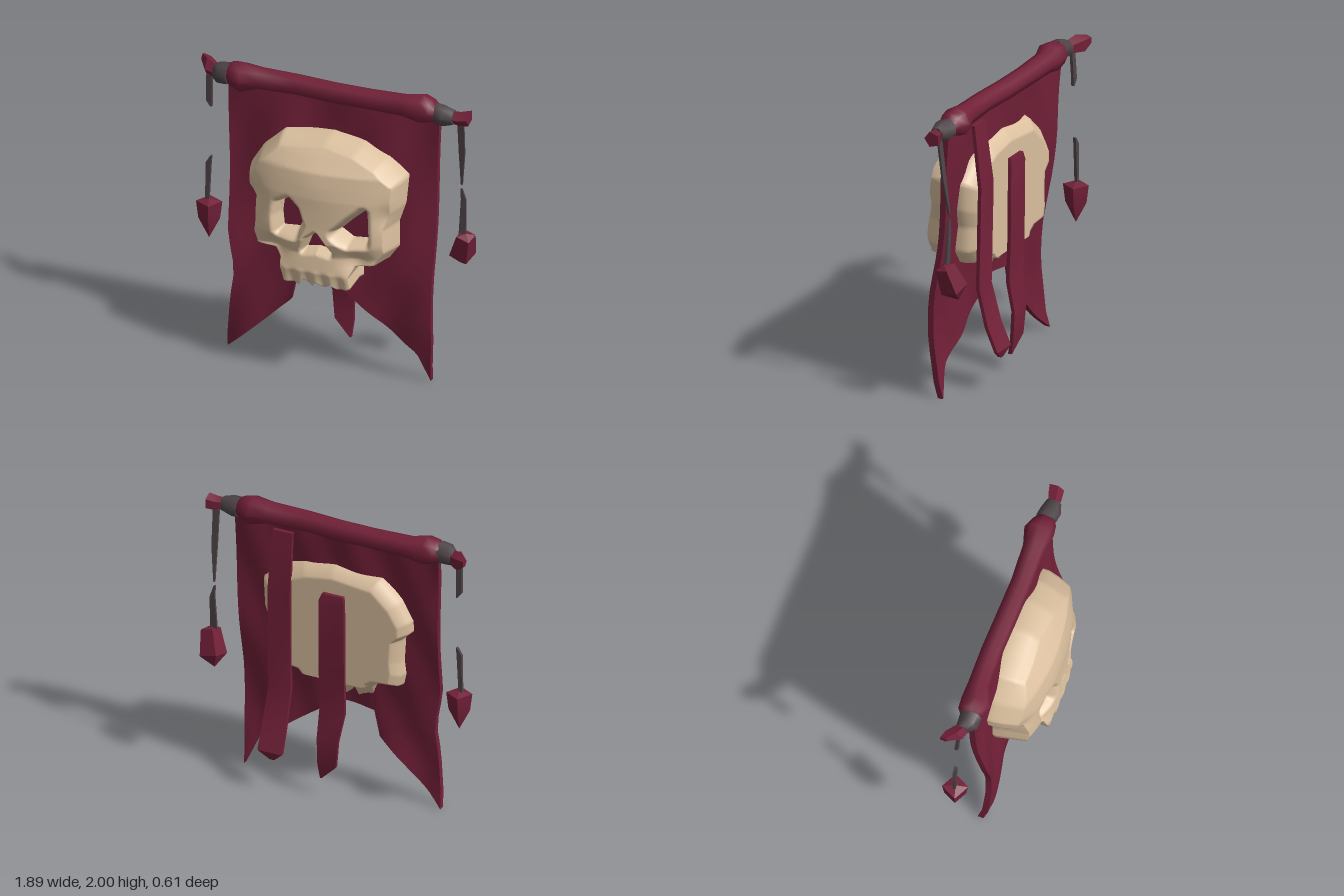
import * as THREE from 'three';
import { toCreasedNormals } from 'three/addons/utils/BufferGeometryUtils.js';

const material = (name, color) => {
  const m = new THREE.MeshStandardMaterial({ color });
  m.name = name;
  return m;
};

// piecewise linear lookup in a list of [key, value], keys rising
function lookup(table, k) {
  for (let i = 1; i < table.length; i++) {
    const [a, va] = table[i - 1], [b, vb] = table[i];
    if (k <= b) return va + (vb - va) * Math.max(0, (k - a) / (b - a));
  }
  return table[table.length - 1][1];
}

// move every vertex of a geometry by a rule
function reshape(geo, rule, crease = 0.6) {
  const p = geo.attributes.position;
  for (let i = 0; i < p.count; i++) p.setXYZ(i, ...rule(p.getX(i), p.getY(i), p.getZ(i)));
  geo.computeVertexNormals();
  return toCreasedNormals(geo, crease);
}

// hanging strip through rows of [left x, right x, y, z]
function strip(rows, thick) {
  const n = rows.length - 1;
  return reshape(new THREE.BoxGeometry(1, 1, 1, 1, n, 1), (x, y, z) => {
    const [l, r, ry, rz] = rows[Math.round((0.5 - y) * n)];
    return [x < 0 ? l : r, ry, rz + z * thick];
  });
}

// round bar along x through stations of [x, y, z, radius]
function bar(stations, sides, crease = 0.95) {
  const n = stations.length - 1;
  const geo = new THREE.CylinderGeometry(1, 1, 1, sides, n).rotateZ(Math.PI / 2);
  return reshape(geo, (x, y, z) => {
    const [sx, sy, sz, r] = stations[Math.round((x + 0.5) * n)];
    return [sx, sy + y * r, sz + z * r];
  }, crease);
}

// eye and nose openings, each with its floor height and the width of its sloping wall
const sockets = [
  { name: 'rightEye', floor: 0.14, wall: 0.06, poly: [[-0.25, 1.12], [-0.24, 1.2], [-0.18, 1.235], [-0.13, 1.19], [-0.1, 1.1], [-0.13, 1.03], [-0.24, 1.02]] },
  { name: 'leftEye', floor: 0.14, wall: 0.06, poly: [[0.16, 1.07], [0.24, 1.15], [0.33, 1.23], [0.34, 1.03], [0.24, 1.02]] },
  { name: 'nose', floor: 0.18, wall: 0.04, poly: [[-0.06, 0.92], [-0.03, 1], [0.02, 1.04], [0.07, 0.98], [0.11, 0.92], [0.02, 0.935]] },
];

// distance outside an opening, zero within it
function distance(poly, x, y) {
  let hit = false, best = Infinity;
  poly.forEach(([ax, ay], i) => {
    const [bx, by] = poly[(i + 1) % poly.length], dx = bx - ax, dy = by - ay;
    if ((ay > y) !== (by > y) && x < ax + (dx * (y - ay)) / dy) hit = !hit;
    const t = THREE.MathUtils.clamp(((x - ax) * dx + (y - ay) * dy) / (dx * dx + dy * dy), 0, 1);
    best = Math.min(best, Math.hypot(x - ax - dx * t, y - ay - dy * t));
  });
  return hit ? 0 : best;
}

// height of the face, hollowed at eyes, nose, temples and cheeks
const ridge = [[0.67, 0.28], [0.78, 0.305], [0.9, 0.28], [1.0, 0.31], [1.1, 0.3], [1.3, 0.285], [1.38, 0.27], [1.47, 0.25], [1.56, 0.18], [1.65, 0.1]];
const bumps = [
  [-0.27, 0.9, 0.08, -0.04], [0.29, 0.88, 0.08, -0.04], [-0.46, 1.22, 0.08, -0.03], [0.5, 1.2, 0.08, -0.03], [0, 1.4, 0.15, 0.01],
];
function faceZ(x, y) {
  let z = lookup(ridge, y) * (1 - 0.37 * Math.pow(Math.abs(x - 0.02) / 0.5, 2.5));
  for (const [bx, by, r, h] of bumps) z += h * Math.exp(-((x - bx) ** 2 + (y - by) ** 2) / (r * r));
  if (y < 0.8 && Math.abs(x) < 0.26) z += 0.012 * Math.sin(x * 60) * (0.8 - y) / 0.1;
  for (const { poly, wall, floor } of sockets) {
    const d = Math.min(1, distance(poly, x, y) / wall);
    z = Math.min(z, floor + (z - floor) * d * (2 - d));
  }
  return z;
}

// closed skull from rings: face outward to the rim, then round to the flat back
function skullGeometry() {
  const corners = [
    [-0.52, 1.36], [-0.44, 1.49], [-0.3, 1.62], [-0.15, 1.635], [0.03, 1.655], [0.25, 1.62], [0.42, 1.55],
    [0.55, 1.44], [0.54, 1.25], [0.5, 1.12], [0.51, 0.95], [0.44, 0.85], [0.3, 0.83], [0.25, 0.77], [0.26, 0.69],
    [0.17, 0.67], [0.13, 0.71], [0.08, 0.67], [0.03, 0.71], [0, 0.67], [-0.06, 0.72], [-0.09, 0.67], [-0.2, 0.68],
    [-0.24, 0.82], [-0.3, 0.86], [-0.44, 0.87], [-0.46, 0.95], [-0.45, 1.05], [-0.46, 1.22], [-0.52, 1.28],
  ];
  const per = 8, cy = 1.1, outline = [];
  corners.forEach(([ax, ay], i) => {
    const [bx, by] = corners[(i + 1) % corners.length];
    for (let k = 0; k < per; k++) outline.push([ax + ((bx - ax) * k) / per, ay + ((by - ay) * k) / per]);
  });
  const rings = [];
  for (let k = 0; k <= 44; k++) rings.push([k / 44, null]);
  rings.push([0.97, 0.09], [1, 0.02], [1, -0.05], [0.97, -0.1], [0.87, -0.15], [0.83, -0.15], [0.4, -0.15], [0, -0.15]);

  const pos = [], index = [], n = outline.length;
  for (const [t, z] of rings) {
    for (const [ox, oy] of outline) {
      // the face narrows in front of the rim, except at the jaw
      const s = z === null ? t * (0.92 + 0.07 * THREE.MathUtils.smoothstep(-oy, -0.86, -0.76)) : t;
      const x = ox * s, y = cy + (oy - cy) * s;
      pos.push(x, z !== null && z < 0 ? Math.max(y, 0.83) : y, z === null ? faceZ(x, y) : z);
    }
  }
  for (let r = 0; r < rings.length - 1; r++) {
    for (let i = 0; i < n; i++) {
      const j = (i + 1) % n, a = r * n + i, b = r * n + j;
      index.push(a, b, b + n, a, b + n, a + n);
    }
  }
  const geo = new THREE.BufferGeometry();
  geo.setAttribute('position', new THREE.Float32BufferAttribute(pos, 3));
  geo.setIndex(index);
  geo.computeVertexNormals();
  return geo;
}

// wavy banner sheet with ragged swallow tails
function bannerGeometry() {
  const left = [[0.01, -0.69], [0.35, -0.66], [0.57, -0.63], [0.85, -0.68], [1.2, -0.69], [1.9, -0.715]];
  const right = [[0.01, 0.71], [0.3, 0.73], [1.9, 0.745]];
  const hem = [[0, 0], [0.19, 0.27], [14 / 48, 0.42], [15 / 48, 0.6], [0.5, 0.61], [0.56, 0.55], [0.75, 0.37], [0.93, 0.2], [1, 0]];
  const sway = [[0, -0.01], [0.1, 0.015], [0.4, 0.035], [0.7, 0.025], [1, -0.01], [1.4, -0.04], [1.9, -0.07]];
  return reshape(new THREE.BoxGeometry(1, 1, 0.04, 48, 18, 1), (bx, by, bz) => {
    const u = bx + 0.5, y = 1.9 + (lookup(hem, u) - 1.9) * (0.5 - by);
    const l = lookup(left, y), x = l + (lookup(right, y) - l) * u;
    const wave = 0.012 * Math.sin(x * 9 + y * 3) + 0.008 * Math.sin(x * 17 - y * 7);
    return [x, y, lookup(sway, y) + wave + bz];
  }, 0.9);
}

export function createModel() {
  const group = new THREE.Group();
  const cloth = material('crimson cloth', 0x722038);
  const bone = material('bone', 0xdabf9e);
  const cord = material('grey cord', 0x4e4448);
  const add = (name, geo, mat) => {
    const mesh = new THREE.Mesh(geo, mat);
    mesh.name = name;
    group.add(mesh);
    return mesh;
  };

  add('banner', bannerGeometry(), cloth);
  add('skull', skullGeometry(), bone);

  // cloth showing through the eyes and nose
  for (const { name, poly, floor } of sockets) {
    const shape = new THREE.Shape(poly.map(([x, y]) => new THREE.Vector2(x, y)));
    add(name, new THREE.ShapeGeometry(shape), cloth).position.z = floor + 0.014;
  }

  // rolled top edge with a lump at each end
  add('topRoll', bar([
    [-0.73, 1.91, -0.07, 0.055], [-0.69, 1.91, -0.07, 0.085], [-0.61, 1.9, -0.06, 0.1], [-0.5, 1.905, -0.08, 0.075],
    [-0.25, 1.905, -0.085, 0.07], [0, 1.9, -0.075, 0.07], [0.25, 1.905, -0.065, 0.07], [0.5, 1.905, -0.07, 0.075],
    [0.62, 1.9, -0.08, 0.1], [0.69, 1.9, -0.07, 0.08], [0.74, 1.89, -0.07, 0.05],
  ], 8), cloth);

  // cord wraps and flared pole ends
  add('rightWrap', bar([[-0.82, 1.9, -0.08, 0.05], [-0.78, 1.905, -0.06, 0.07], [-0.71, 1.91, -0.06, 0.075]], 7), cord);
  add('leftWrap', bar([[0.72, 1.89, -0.07, 0.07], [0.78, 1.885, -0.06, 0.07], [0.845, 1.885, -0.06, 0.05]], 7), cord);
  add('rightPoleEnd', bar([[-0.935, 1.935, -0.165, 0.03], [-0.88, 1.91, -0.12, 0.065], [-0.8, 1.9, -0.08, 0.045]], 5, 0.3), cloth);
  add('leftPoleEnd', bar([[0.83, 1.885, -0.06, 0.04], [0.88, 1.88, -0.07, 0.05], [0.94, 1.89, -0.08, 0.055]], 5, 0.3), cloth);

  // long ribbons hanging behind
  add('middleRibbon', strip([
    [-0.07, 0.08, 1.47, -0.165], [-0.08, 0.1, 1.42, -0.175], [-0.08, 0.1, 0.9, -0.17], [-0.08, 0.1, 0.62, -0.16],
    [-0.05, 0.1, 0.42, -0.2], [-0.03, 0.1, 0.23, -0.19], [0.08, 0.09, 0.12, -0.17],
  ], 0.025), cloth);
  add('sideRibbon', strip([
    [0.32, 0.46, 1.82, -0.11], [0.31, 0.47, 1.4, -0.165], [0.31, 0.47, 0.7, -0.15],
    [0.31, 0.48, 0.45, -0.22], [0.305, 0.48, 0.29, -0.29], [0.37, 0.4, 0.23, -0.27],
  ], 0.025), cloth);

  // broken cords
  add('rightUpperCord', strip([[-0.88, -0.84, 1.86, -0.09], [-0.885, -0.845, 1.67, -0.1], [-0.855, -0.845, 1.63, -0.1]], 0.02), cord);
  add('rightLowerCord', strip([[-0.86, -0.85, 1.27, -0.11], [-0.89, -0.855, 1.22, -0.11], [-0.895, -0.87, 0.93, -0.11]], 0.02), cord);
  add('leftUpperCord', strip([[0.85, 0.895, 1.86, -0.1], [0.85, 0.89, 1.6, -0.13], [0.852, 0.862, 1.36, -0.16]], 0.015), cord);
  add('leftLowerCord', strip([[0.85, 0.86, 1.33, -0.16], [0.85, 0.885, 1.25, -0.165], [0.84, 0.89, 1.0, -0.15]], 0.015), cord);

  // four-sided tassels
  const tassel = (profile) =>
    toCreasedNormals(new THREE.LatheGeometry(profile.map(([r, y]) => new THREE.Vector2(r, y)), 4), 0.3);
  const rightTassel = add('rightTassel', tassel([[0, -0.16], [0.07, -0.02], [0.085, 0.1], [0, 0.12]]), cloth);
  rightTassel.position.set(-0.87, 0.84, -0.11);
  rightTassel.rotation.y = 0.3;
  const leftTassel = add('leftTassel', tassel([[0, -0.13], [0.09, -0.05], [0.065, 0.12], [0, 0.14]]), cloth);
  leftTassel.position.set(0.86, 0.89, -0.18);
  leftTassel.rotation.set(0.45, 0.6, -0.3);

  return group;
}
